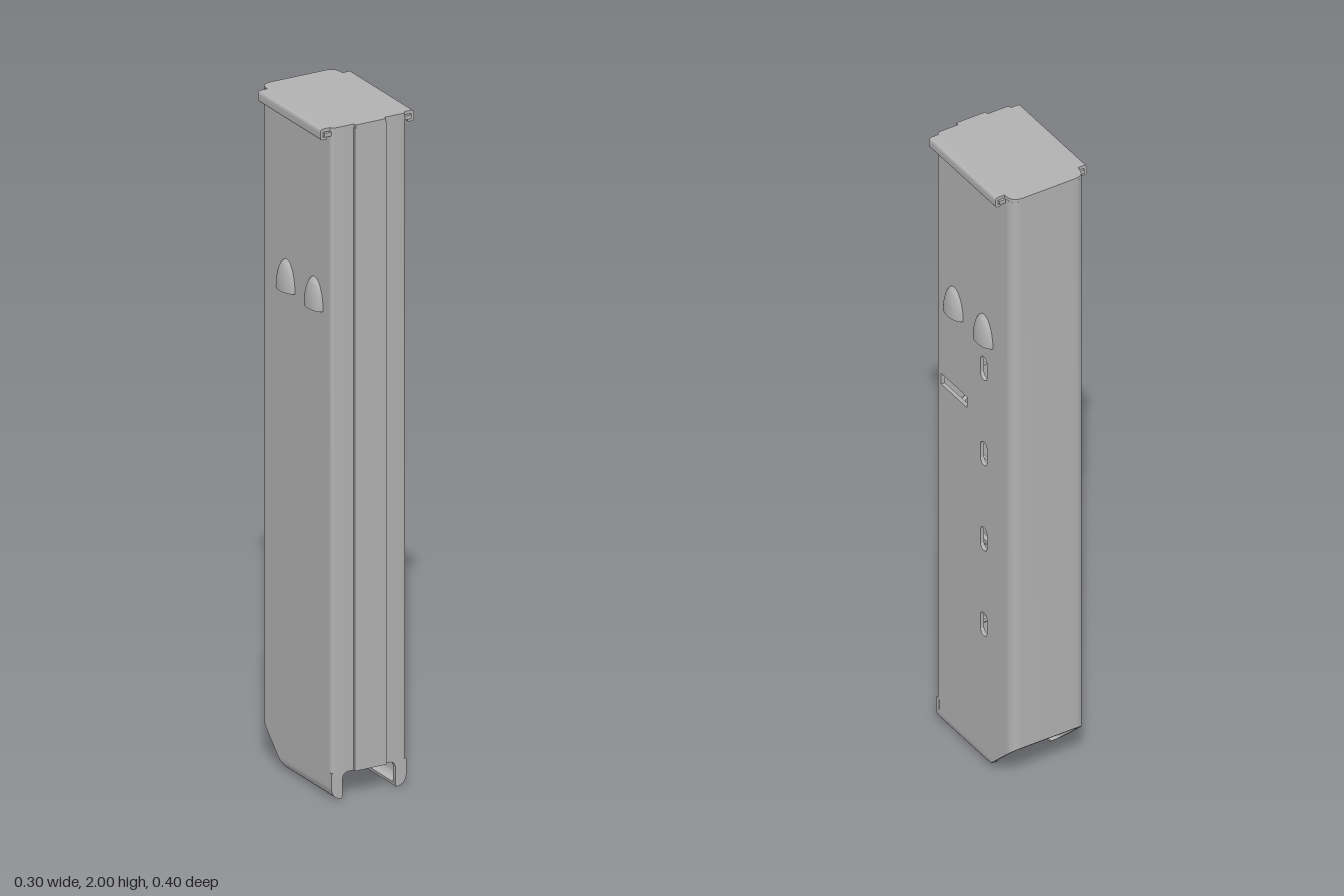
import * as THREE from 'three';
import { toCreasedNormals } from 'three/addons/utils/BufferGeometryUtils.js';

const steel = new THREE.MeshStandardMaterial({ color: 0xb2b2b2, side: THREE.DoubleSide });
steel.name = 'grey steel';

const W = 0.12, T = 0.012;              // half width, sheet thickness
// Slanted cut across the lower back
const slopeY = z => 0.01 + (-0.075 - z) * 0.96;
const slopeZ = y => -0.075 - (y - 0.01) / 0.96;

// Polygon from [x, y, cornerRadius] points
function trace(points, path = new THREE.Shape()) {
  const v = points.map(p => new THREE.Vector2(p[0], p[1]));
  points.forEach((p, i) => {
    const c = v[i], r = p[2] || 0;
    const prev = v[(i + v.length - 1) % v.length], next = v[(i + 1) % v.length];
    const a = c.clone().add(prev.clone().sub(c).setLength(r));
    const b = c.clone().add(next.clone().sub(c).setLength(r));
    if (i === 0) path.moveTo(a.x, a.y); else path.lineTo(a.x, a.y);
    if (r) path.quadraticCurveTo(c.x, c.y, b.x, b.y);
  });
  path.closePath();
  return path;
}

const extrude = (shape, depth) =>
  new THREE.ExtrudeGeometry(shape, { depth, bevelEnabled: false, curveSegments: 7 });

// Outline in (x, z), raised from y0 to y1
const upright = (points, y0, y1) =>
  extrude(trace(points.map(([x, z, r]) => [x, -z, r])), y1 - y0).rotateX(-Math.PI / 2).translate(0, y0, 0);

// Outline in (x, y), running from z0 to z1
const lengthwise = (points, z0, z1) => extrude(trace(points), z1 - z0).translate(0, 0, z0);

const flip = (points, s) => points.map(([x, y, r]) => [x * s, y, r]);

function bend(geometry, rule) {
  const p = geometry.attributes.position, v = new THREE.Vector3();
  for (let i = 0; i < p.count; i++) {
    rule(v.fromBufferAttribute(p, i));
    p.setXYZ(i, v.x, v.y, v.z);
  }
  return geometry;
}

export function createModel() {
  const model = new THREE.Group();
  model.name = 'magazine';
  const add = (name, geometry) => {
    const mesh = new THREE.Mesh(toCreasedNormals(geometry, 0.5), steel);
    mesh.name = name;
    model.add(mesh);
    return mesh;
  };

  // Back wall with rounded corners, cut along the slope
  const back = upright([
    [W, -0.165], [W, -0.2, 0.034], [-W, -0.2, 0.034], [-W, -0.165],
    [-W + T, -0.165], [-W + T, -0.188, 0.022], [W - T, -0.188, 0.022], [W - T, -0.165],
  ], 0, 1.99);
  add('backWall', bend(back, v => { if (v.y < 0.001) v.y = slopeY(v.z); }));

  // Front wall with raised centre rib
  add('frontWall', upright([
    [W, 0.174], [W, 0.19, 0.014], [0.05, 0.19], [0.05, 0.2], [-0.05, 0.2], [-0.05, 0.19],
    [-W, 0.19, 0.014], [-W, 0.174],
  ], 0.08, 1.99));

  for (const s of [1, -1]) {
    const side = s > 0 ? 'left' : 'right';

    // Side wall; only the left one is pierced
    const wall = trace([
      [0.175, 0.045], [slopeZ(0.045), 0.045], [-0.165, slopeY(-0.165)], [-0.165, 1.99], [0.175, 1.99],
    ]);
    if (s > 0) {
      for (const y of [0.475, 0.765, 1.055, 1.345]) {
        const hole = new THREE.Path();
        hole.absarc(-0.053, y + 0.022, 0.017, 0, Math.PI);
        hole.absarc(-0.053, y - 0.022, 0.017, Math.PI, 2 * Math.PI);
        hole.closePath();
        wall.holes.push(hole);
      }
      wall.holes.push(trace([[0.033, 1.16], [0.165, 1.16], [0.165, 1.196], [0.033, 1.196]], new THREE.Path()));
    }
    add(side + 'Wall', extrude(wall, T).rotateY(-Math.PI / 2).translate(s > 0 ? W : -W + T, 0, 0));

    // Feed lip curling inward at the open end
    const lip = lengthwise(flip([
      [W, 0.046], [W, 0.008, 0.03], [0.088, 0.003], [0.086, 0.013],
      [W - T, 0.019, 0.016], [W - T, 0.046],
    ], s), -0.1, 0.178);
    add(side + 'Lip', bend(lip, v => { if (v.z < 0) v.z = slopeZ(v.y); }));

    // Front corner beside the notch
    add(side + 'FrontCorner', lengthwise(flip([
      [W, 0.082], [W, 0.008, 0.03], [0.088, 0.003], [0.085, 0.01], [0.085, 0.08, 0.022], [0.06, 0.08], [0.06, 0.082],
    ], s), 0.176, 0.19));

    // Stop bumps with flat undersides
    for (const z of [0.098, -0.055]) {
      const dome = new THREE.SphereGeometry(1, 24, 10, 0, Math.PI, 0, Math.PI / 2);
      const base = new THREE.CircleGeometry(1, 24, 0, Math.PI).rotateX(Math.PI / 2);
      for (const [name, g] of [['StopBump', dome], ['StopBumpUnderside', base]]) {
        g.scale(0.046, 0.09, 0.024).rotateY(s * Math.PI / 2).translate(s * (W - 0.001), 1.44, z);
        add(side + name, g);
      }
    }

    // Body flange and the base plate hook wrapped around it
    add(side + 'Flange', new THREE.BoxGeometry(0.026, 0.012, 0.35).translate(s * 0.126, 1.982, 0.01));
    add(side + 'BaseHook', lengthwise(flip([
      [0.11, 2], [0.15, 2, 0.01], [0.15, 1.967, 0.008], [0.13, 1.967, 0.003],
      [0.13, 1.975], [0.141, 1.975], [0.141, 1.99], [0.11, 1.99],
    ], s), -0.16, 0.18));
  }

  // Base plate closing the top, with a front tab
  add('basePlate', upright([
    [W, -0.2, 0.035], [W, 0.19, 0.015], [0.048, 0.19], [0.048, 0.2], [-0.048, 0.2], [-0.048, 0.19],
    [-W, 0.19, 0.015], [-W, -0.2, 0.035],
  ], 1.988, 2));

  // Follower just inside the open end
  const follower = new THREE.BoxGeometry(0.214, 0.1, 0.36, 1, 1, 12).translate(0, 0.15, -0.006);
  add('follower', bend(follower, v => {
    if (v.y < 0.12) v.y = Math.max(0.09, slopeY(v.z) + 0.008);
  }));

  // Coil spring glimpsed through the slots
  const turns = 20, coil = [];
  const square = c => Math.sign(c) * Math.sqrt(Math.abs(c));
  for (let i = 0; i <= turns * 16; i++) {
    const a = i / 16 * 2 * Math.PI;
    coil.push(new THREE.Vector3(0.09 * square(Math.cos(a)), 0.21 + 1.75 * i / (turns * 16), 0.15 * square(Math.sin(a))));
  }
  add('spring', new THREE.TubeGeometry(new THREE.CatmullRomCurve3(coil), turns * 24, 0.011, 6));

  return model;
}
